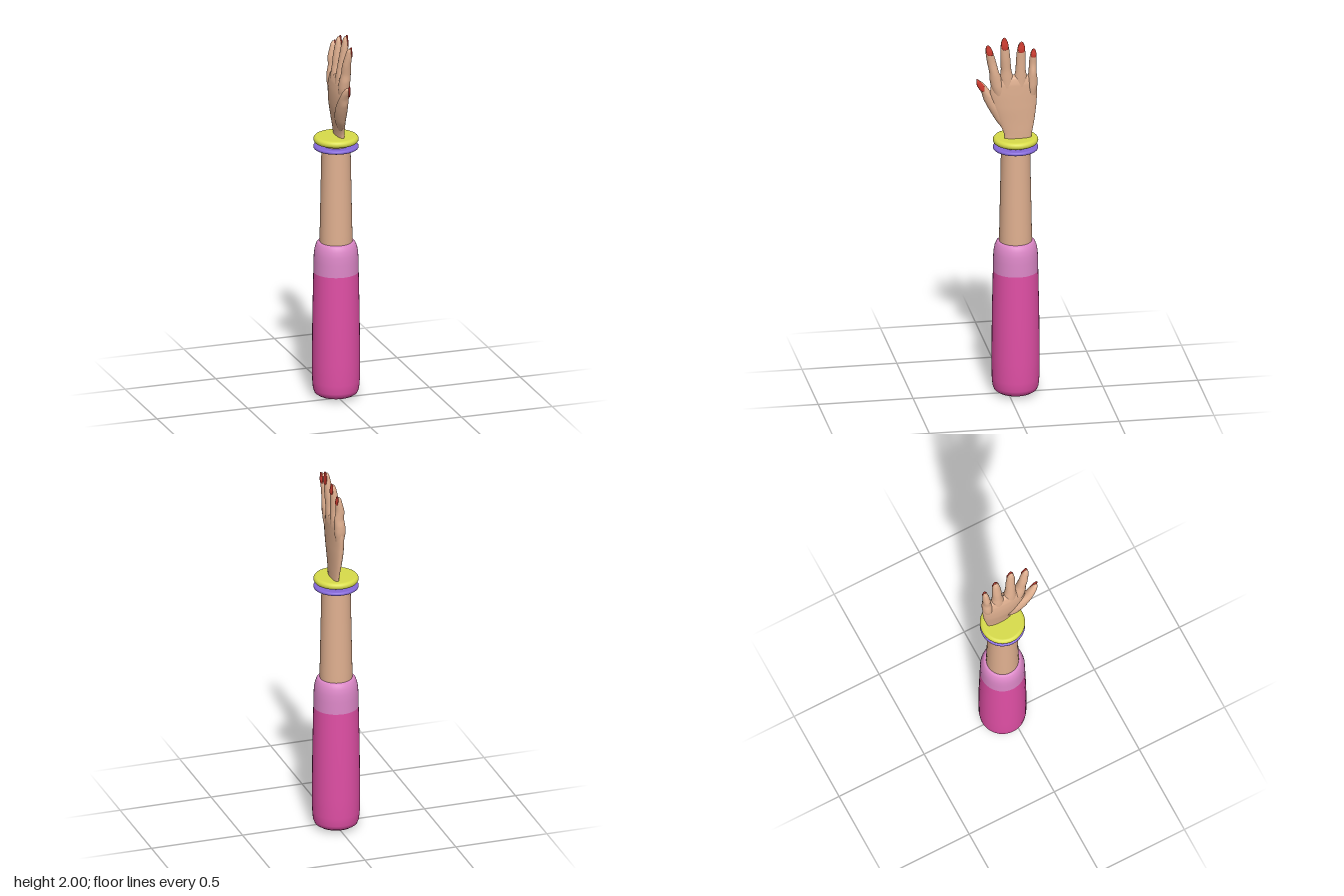
import * as THREE from 'three';

const AXIS_Z = -0.04; // arm axis
const material = (color) => new THREE.MeshStandardMaterial({ color });
const skin = material(0xe0b090);
const nailRed = material(0xcc3a2e);

function add(parent, name, geometry, mat) {
  const mesh = new THREE.Mesh(geometry, mat);
  mesh.name = name;
  parent.add(mesh);
  return mesh;
}

// Round part from a [radius, y] profile on the arm axis
function turned(parent, name, profile, mat) {
  const points = profile.map(([r, y]) => new THREE.Vector2(r, y));
  add(parent, name, new THREE.LatheGeometry(points, 40), mat).position.z = AXIS_Z;
}

// Bangle disc with a rounded rim
function bangle(parent, name, y, radius, half, color) {
  const profile = [[0.001, y - half]];
  for (let i = 0; i <= 10; i++) {
    const a = -Math.PI / 2 + (Math.PI * i) / 10;
    profile.push([radius - half + half * Math.cos(a), y + half * Math.sin(a)]);
  }
  profile.push([0.001, y + half]);
  turned(parent, name, profile, material(color));
}

// Smooth skin through horizontal ellipses [centreX, y, centreZ, radiusX, radiusZ]
function loft(sections, steps = 5, sides = 24) {
  const centres = new THREE.CatmullRomCurve3(sections.map((s) => new THREE.Vector3(s[0], s[1], s[2])));
  const radii = new THREE.CatmullRomCurve3(sections.map((s) => new THREE.Vector3(s[3], s[4], 0)));
  const rows = (sections.length - 1) * steps;
  const positions = [];
  const index = [];
  for (let j = 0; j <= rows; j++) {
    const c = centres.getPoint(j / rows);
    const r = radii.getPoint(j / rows);
    for (let i = 0; i < sides; i++) {
      const a = (i / sides) * Math.PI * 2;
      positions.push(c.x + Math.max(r.x, 0.0005) * Math.cos(a), c.y, c.z + Math.max(r.y, 0.0005) * Math.sin(a));
      if (j < rows) {
        const p = j * sides + i;
        const q = j * sides + ((i + 1) % sides);
        index.push(p, p + sides, q, q, p + sides, q + sides);
      }
    }
  }
  const geometry = new THREE.BufferGeometry();
  geometry.setAttribute('position', new THREE.Float32BufferAttribute(positions, 3));
  geometry.setIndex(index);
  geometry.computeVertexNormals();
  return geometry;
}

// Finger from base to tip, with a pointed nail on the back of the hand (+x)
function finger(parent, name, { baseZ, baseY, baseR, tipZ, tipY, tipX, bend = 0 }) {
  const at = (t, x, rx, rz) => [x, baseY + (tipY - baseY) * t, baseZ + (tipZ - baseZ) * t + bend * Math.sin(t * Math.PI), rx, rz];
  const group = new THREE.Group();
  group.name = name;
  add(group, name + 'Flesh', loft([
    at(-0.45, 0.008, 0.022, baseR * 0.75),
    at(-0.15, 0.008, 0.03, baseR),
    at(0.05, 0.01, 0.029, baseR * 0.95),
    at(0.25, 0.013, 0.026, baseR * 0.74),
    at(0.5, tipX - 0.005, 0.023, baseR * 0.7),
    at(0.72, tipX, 0.019, baseR * 0.62),
    at(0.88, tipX + 0.003, 0.014, baseR * 0.46),
    at(0.955, tipX + 0.004, 0.007, baseR * 0.22),
    at(0.965, tipX + 0.004, 0.0005, 0.0005),
  ]), skin);
  add(group, name + 'Nail', loft([
    at(0.71, tipX + 0.013, 0.0005, 0.0005),
    at(0.73, tipX + 0.014, 0.006, baseR * 0.4),
    at(0.82, tipX + 0.013, 0.007, baseR * 0.53),
    at(0.92, tipX + 0.011, 0.006, baseR * 0.4),
    at(0.98, tipX + 0.012, 0.004, baseR * 0.2),
    at(1, tipX + 0.012, 0.0005, 0.0005),
  ], 4, 16), nailRed);
  parent.add(group);
}

export function createModel() {
  const model = new THREE.Group();
  model.name = 'arm';

  // Sleeve, cuff and forearm
  turned(model, 'sleeve', [
    [0.001, 0], [0.06, 0.006], [0.095, 0.012], [0.112, 0.024], [0.12, 0.045],
    [0.124, 0.09], [0.125, 0.2], [0.123, 0.45], [0.118, 0.685],
  ], material(0xe04fa5));
  turned(model, 'cuff', [
    [0.118, 0.685], [0.117, 0.75], [0.115, 0.79], [0.11, 0.82], [0.101, 0.843], [0.093, 0.851], [0.08, 0.85],
  ], material(0xdd88c8));
  turned(model, 'forearm', [[0.085, 0.82], [0.085, 0.9], [0.081, 1.1], [0.077, 1.3], [0.075, 1.41]], skin);

  // Bangles
  bangle(model, 'thinBangle', 1.371, 0.118, 0.01, 0x8468d8);
  bangle(model, 'wideBangle', 1.412, 0.118, 0.018, 0xd8dc4a);

  // Palm
  const hand = new THREE.Group();
  hand.name = 'hand';
  model.add(hand);
  add(hand, 'palm', loft([
    [0.018, 1.4, -0.048, 0.018, 0.068],
    [0.017, 1.45, -0.05, 0.02, 0.073],
    [0.012, 1.52, -0.044, 0.026, 0.093],
    [0.007, 1.6, -0.034, 0.033, 0.114],
    [0.006, 1.68, -0.029, 0.034, 0.124],
    [0.008, 1.73, -0.03, 0.031, 0.12],
    [0.01, 1.765, -0.032, 0.022, 0.1],
    [0.01, 1.78, -0.032, 0.0005, 0.03],
  ], 6, 40), skin);

  // Thumb, leaning away from the palm
  add(hand, 'thumbFlesh', loft([
    [0.012, 1.47, 0.0, 0.012, 0.022],
    [0.0, 1.53, 0.025, 0.026, 0.042],
    [-0.006, 1.59, 0.055, 0.03, 0.046],
    [-0.009, 1.64, 0.085, 0.028, 0.041],
    [-0.01, 1.68, 0.112, 0.025, 0.026],
    [-0.009, 1.715, 0.133, 0.02, 0.021],
    [-0.006, 1.742, 0.149, 0.012, 0.013],
    [-0.005, 1.755, 0.156, 0.0005, 0.0005],
  ]), skin);
  add(hand, 'thumbNail', loft([
    [0.008, 1.69, 0.128, 0.0005, 0.0005],
    [0.007, 1.7, 0.133, 0.007, 0.014],
    [0.006, 1.725, 0.145, 0.007, 0.018],
    [0.004, 1.75, 0.157, 0.006, 0.01],
    [0.003, 1.766, 0.164, 0.0005, 0.0005],
  ], 4, 16), nailRed);

  // Four fingers
  finger(hand, 'indexFinger', { baseZ: 0.064, baseY: 1.75, baseR: 0.034, tipZ: 0.112, tipY: 1.96, tipX: 0.018 });
  finger(hand, 'middleFinger', { baseZ: 0.008, baseY: 1.75, baseR: 0.037, tipZ: 0.026, tipY: 2.0, tipX: 0.025 });
  finger(hand, 'ringFinger', { baseZ: -0.064, baseY: 1.75, baseR: 0.036, tipZ: -0.066, tipY: 1.97, tipX: 0.021 });
  finger(hand, 'littleFinger', { baseZ: -0.126, baseY: 1.745, baseR: 0.028, tipZ: -0.132, tipY: 1.925, tipX: 0.014 });

  return model;
}
